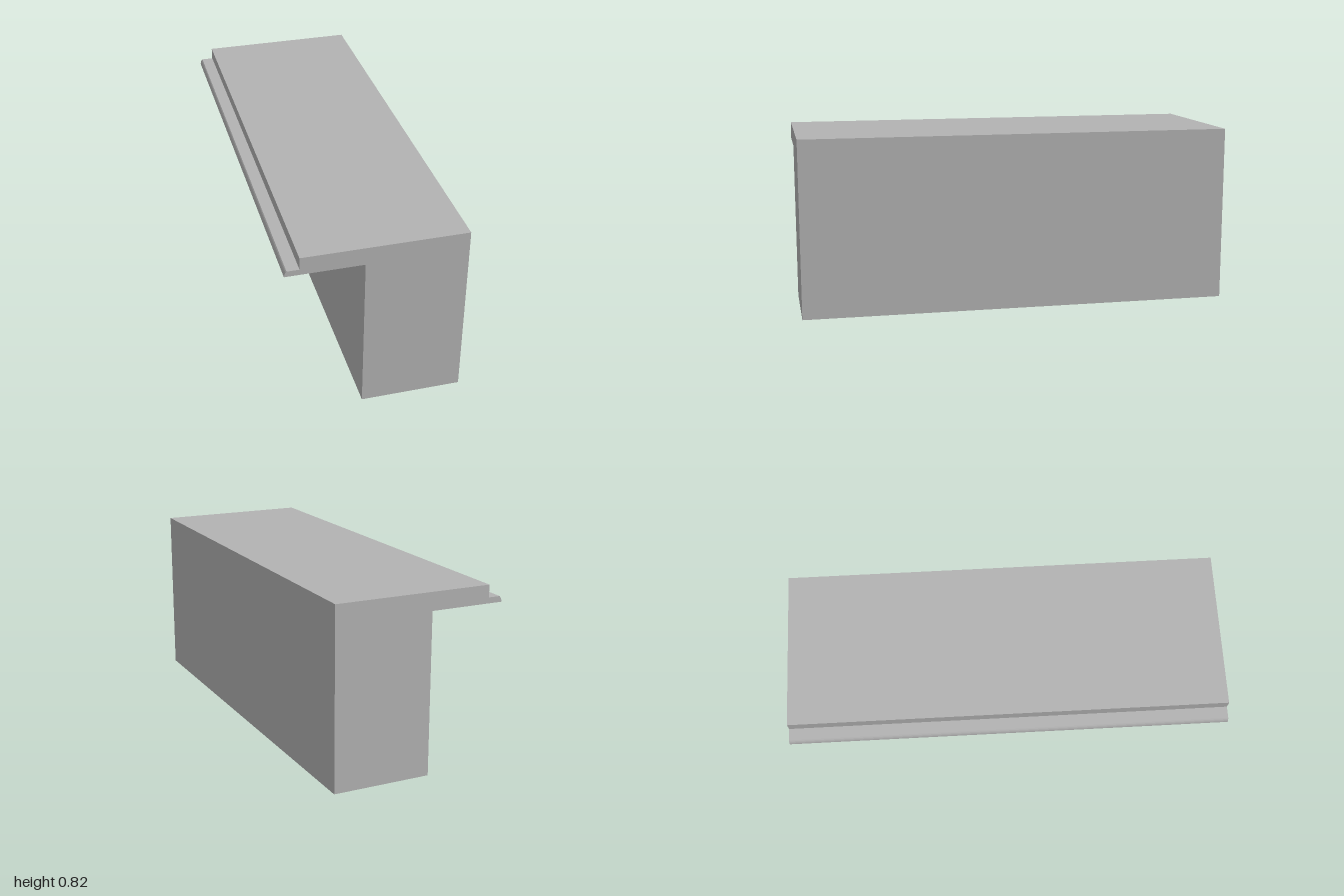
import * as THREE from 'three';

const HALF = 1, LIP = 0.015, UNDER = 0.735;

// Outline of the cross-section; depth is how far the overhang's soffit is recessed
function profile(depth) {
  const s = new THREE.Shape();
  s.moveTo(-0.055, 0);
  s.lineTo(0.396, 0);
  s.lineTo(0.396, 0.817);
  s.lineTo(-0.332, 0.817);
  s.lineTo(-0.332, 0.761);
  s.lineTo(-0.386, 0.761);
  s.quadraticCurveTo(-0.395, 0.753, -0.397, UNDER); // rounded nose
  if (depth > 0) {
    s.lineTo(-0.315, UNDER);
    s.lineTo(-0.315, UNDER + depth);
    s.lineTo(-0.055, UNDER + depth);
  } else {
    s.lineTo(-0.055, UNDER);
  }
  s.closePath();
  return s;
}

export function createModel() {
  const group = new THREE.Group();
  group.name = 'overhangingBlock';
  const grey = new THREE.MeshStandardMaterial({ color: 0xb2b2b2 });
  grey.name = 'grey';

  const addSection = (name, depth, z0, z1) => {
    const geo = new THREE.ExtrudeGeometry(profile(depth), {
      depth: z1 - z0, bevelEnabled: false, curveSegments: 4,
    });
    geo.translate(0, 0, z0);
    const mesh = new THREE.Mesh(geo, grey);
    mesh.name = name;
    group.add(mesh);
  };

  // Long body with a shallow soffit recess, closed by a thin lip at each end
  addSection('body', 0.014, -HALF + LIP, HALF - LIP);
  addSection('frontEnd', 0, HALF - LIP, HALF);
  addSection('backEnd', 0, -HALF, -HALF + LIP);
  return group;
}
